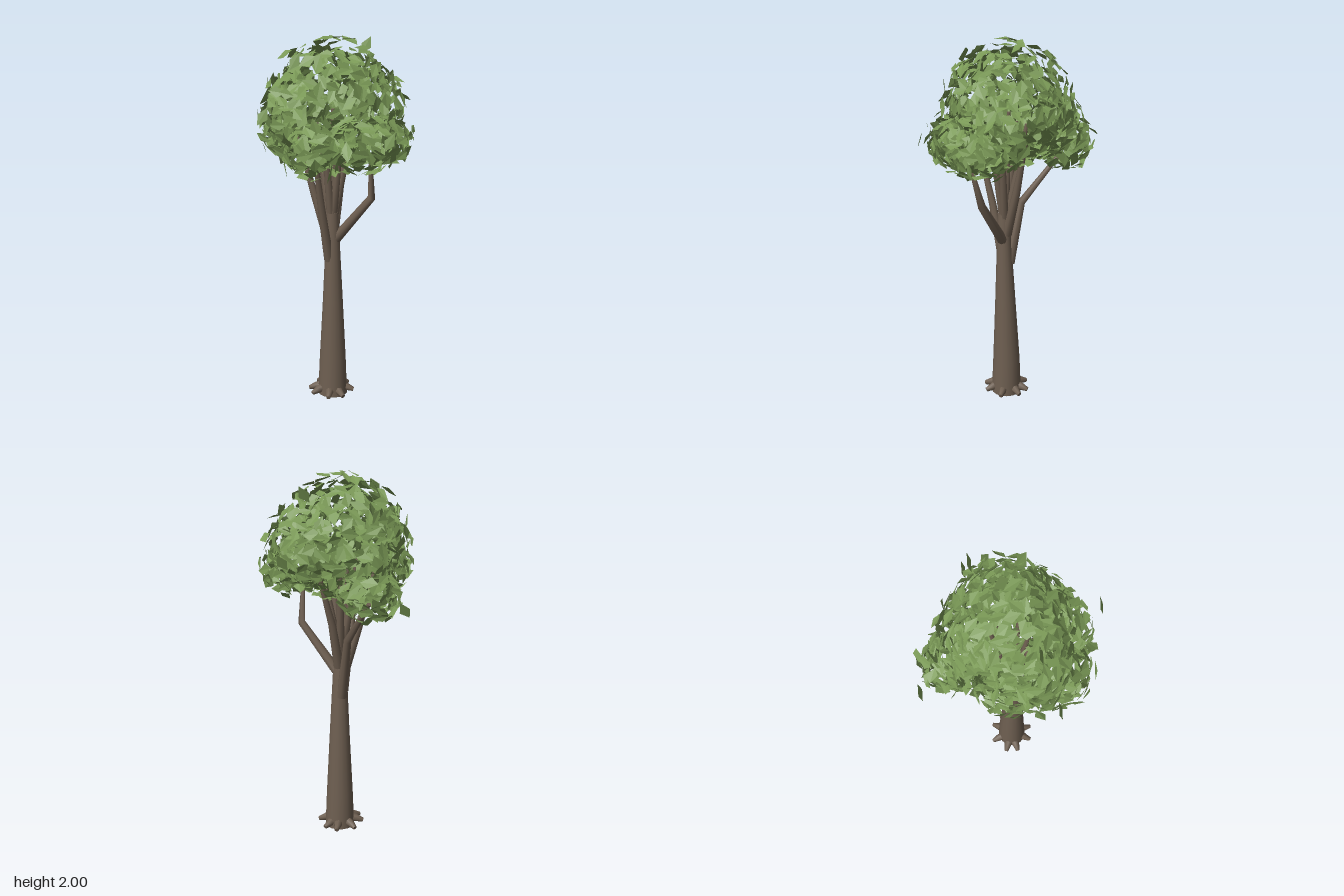
import * as THREE from 'three';

const bark = new THREE.MeshStandardMaterial({ color: 0x6e5f51 });
const foliage = new THREE.MeshStandardMaterial({ color: 0x7a9956, side: THREE.DoubleSide, flatShading: true });

// Small seeded generator
function seeded(seed) {
  return () => {
    seed = (seed * 1664525 + 1013904223) % 4294967296;
    return seed / 4294967296;
  };
}

// Tapered limb: rings of the given radii along a path, open at the base, closed at the tip
function limb(name, path, radii, sides = 10) {
  const pts = path.map(p => new THREE.Vector3(...p));
  const pos = [], idx = [];
  const up = new THREE.Vector3(0, 1, 0);
  pts.forEach((p, i) => {
    const dir = pts[Math.min(i + 1, pts.length - 1)].clone().sub(pts[Math.max(i - 1, 0)]).normalize();
    const q = new THREE.Quaternion().setFromUnitVectors(up, dir);
    for (let s = 0; s < sides; s++) {
      const a = (s / sides) * Math.PI * 2;
      const v = new THREE.Vector3(Math.sin(a), 0, Math.cos(a)).multiplyScalar(radii[i]).applyQuaternion(q).add(p);
      pos.push(v.x, v.y, v.z);
      if (i > 0) {
        const n = (s + 1) % sides, lo = (i - 1) * sides, hi = i * sides;
        idx.push(lo + s, lo + n, hi + n, lo + s, hi + n, hi + s);
      }
    }
  });
  // Tip cap with its own corners, so the rim stays sharp
  const base = pos.length / 3;
  pos.push(...pos.slice(-sides * 3));
  for (let s = 1; s < sides - 1; s++) idx.push(base, base + s, base + s + 1);
  const geo = new THREE.BufferGeometry();
  geo.setAttribute('position', new THREE.Float32BufferAttribute(pos, 3));
  geo.setIndex(idx);
  geo.computeVertexNormals();
  const mesh = new THREE.Mesh(geo, bark);
  mesh.name = name;
  return mesh;
}

// Foliage clumps: centre, radii and number of leaves
const clumps = [
  { c: [0.02, 1.66, 0.00], r: [0.32, 0.31, 0.33], n: 480 },
  { c: [-0.19, 1.62, 0.03], r: [0.20, 0.21, 0.22], n: 170 },
  { c: [0.22, 1.62, 0.02], r: [0.19, 0.20, 0.24], n: 170 },
  { c: [0.05, 1.48, 0.26], r: [0.22, 0.15, 0.17], n: 150 },
  { c: [0.05, 1.43, -0.31], r: [0.16, 0.13, 0.16], n: 120 },
  { c: [0.05, 1.56, -0.19], r: [0.23, 0.18, 0.20], n: 150 },
  { c: [-0.20, 1.46, 0.17], r: [0.16, 0.14, 0.18], n: 120 },
  { c: [0.20, 1.48, 0.19], r: [0.17, 0.13, 0.17], n: 120 },
  { c: [-0.16, 1.50, -0.08], r: [0.17, 0.13, 0.16], n: 100 },
];

// How deep a point lies within a clump: below 1 is inside
function depth(p, k) {
  return Math.hypot(...p.toArray().map((v, i) => (v - k.c[i]) / k.r[i]));
}

// Leaves: skewed four-cornered blades lying roughly along the clump surfaces
function leaves() {
  const rnd = seeded(7);
  const jitter = a => (rnd() - 0.5) * 2 * a;
  const pos = [];
  const zAxis = new THREE.Vector3(0, 0, 1);
  for (const k of clumps) {
    for (let i = 0; i < k.n; i++) {
      const y = 1 - (2 * (i + 0.5)) / k.n;
      const a = i * 2.39996 + jitter(0.2);
      const ring = Math.sqrt(1 - y * y);
      const out = new THREE.Vector3(Math.cos(a) * ring, y, Math.sin(a) * ring);
      const reach = 0.72 + 0.36 * rnd();
      const p = new THREE.Vector3(...k.c.map((c, j) => c + out.getComponent(j) * k.r[j] * reach));
      if (clumps.some(o => o !== k && depth(p, o) < 0.55)) continue;
      out.add(new THREE.Vector3(jitter(0.5), jitter(0.5), jitter(0.5))).normalize();
      const q = new THREE.Quaternion().setFromUnitVectors(zAxis, out)
        .multiply(new THREE.Quaternion().setFromAxisAngle(zAxis, rnd() * Math.PI * 2));
      const l = 0.038 + 0.014 * rnd(), w = 0.024 + 0.01 * rnd(), skew = jitter(0.022);
      const [A, B, C, D] = [[-l, 0, 0], [skew, -w, 0.004], [l, 0, 0], [-skew, w, 0.004]].map(v => {
        const u = new THREE.Vector3(...v).applyQuaternion(q).add(p);
        u.y = Math.min(u.y, 2);
        return u.toArray();
      });
      pos.push(...A, ...B, ...C, ...A, ...C, ...D);
    }
  }
  // A few stray leaves around the crown
  const strays = [[-0.43, 1.64, 0.09], [0.05, 1.53, 0.49], [-0.03, 1.38, -0.49], [0.43, 1.60, -0.10], [0.30, 1.92, -0.10], [-0.23, 1.89, 0.06]];
  for (const [x, y, z] of strays) {
    const A = [x - 0.03, y - 0.04, z], B = [x + 0.02, y - 0.015, z + 0.015];
    const C = [x + 0.03, y + 0.045, z], D = [x - 0.02, y + 0.01, z - 0.015];
    pos.push(...A, ...B, ...C, ...A, ...C, ...D);
  }
  const geo = new THREE.BufferGeometry();
  geo.setAttribute('position', new THREE.Float32BufferAttribute(pos, 3));
  geo.computeVertexNormals();
  const mesh = new THREE.Mesh(geo, foliage);
  mesh.name = 'leaves';
  return mesh;
}

export function createModel() {
  const tree = new THREE.Group();
  tree.name = 'tree';

  // Trunk
  tree.add(limb('trunk',
    [[0.025, 0, 0.01], [0.025, 0.2, 0.01], [0.022, 0.55, 0.015], [0.017, 0.9, 0.02], [0.013, 1.065, 0.02]],
    [0.082, 0.074, 0.056, 0.039, 0.033], 16));

  // Roots, spreading from the middle of the base
  const roots = new THREE.Group();
  roots.name = 'roots';
  for (let i = 0; i < 8; i++) {
    const a = ((i + 0.12 * (i % 3)) / 8) * Math.PI * 2;
    const at = (r, y) => [0.02 + Math.sin(a) * r, y, 0.005 + Math.cos(a) * r];
    roots.add(limb('root', [at(0.01, 0.045), at(0.085, 0.034), at(0.125, 0.02)], [0.028, 0.022, 0.012], 7));
  }
  tree.add(roots);

  // Main branches, bent at a joint
  const branches = new THREE.Group();
  branches.name = 'branches';
  const bent = [
    [[0.03, 0.92, 0.035], [0.145, 1.17, 0.20], [0.11, 1.36, 0.24]],
    [[0.025, 0.78, -0.01], [0.03, 1.12, -0.075], [0.05, 1.38, -0.30]],
    [[-0.005, 0.80, 0.02], [-0.07, 1.10, 0.05], [-0.14, 1.42, 0.10]],
    [[0.03, 0.95, 0.01], [0.09, 1.20, -0.02], [0.18, 1.50, -0.03]],
    [[0.00, 0.90, 0.01], [-0.06, 1.16, -0.04], [-0.13, 1.48, -0.09]],
  ];
  for (const path of bent) branches.add(limb('branch', path, [0.028, 0.021, 0.011], 8));

  // Upper branches fanning out of the trunk top
  const tips = [[-0.06, 1.52, 0.06], [0.02, 1.58, 0.10], [0.10, 1.52, 0.07], [0.08, 1.56, -0.08], [-0.03, 1.55, -0.07], [0.03, 1.62, 0.0]];
  for (const [x, y, z] of tips) {
    const mid = [0.015 + (x - 0.015) * 0.55, 1.28, 0.015 + (z - 0.015) * 0.55];
    branches.add(limb('upperBranch', [[0.015, 0.98, 0.015], mid, [x, y, z]], [0.025, 0.019, 0.01], 8));
  }
  tree.add(branches);

  tree.add(leaves());
  return tree;
}
